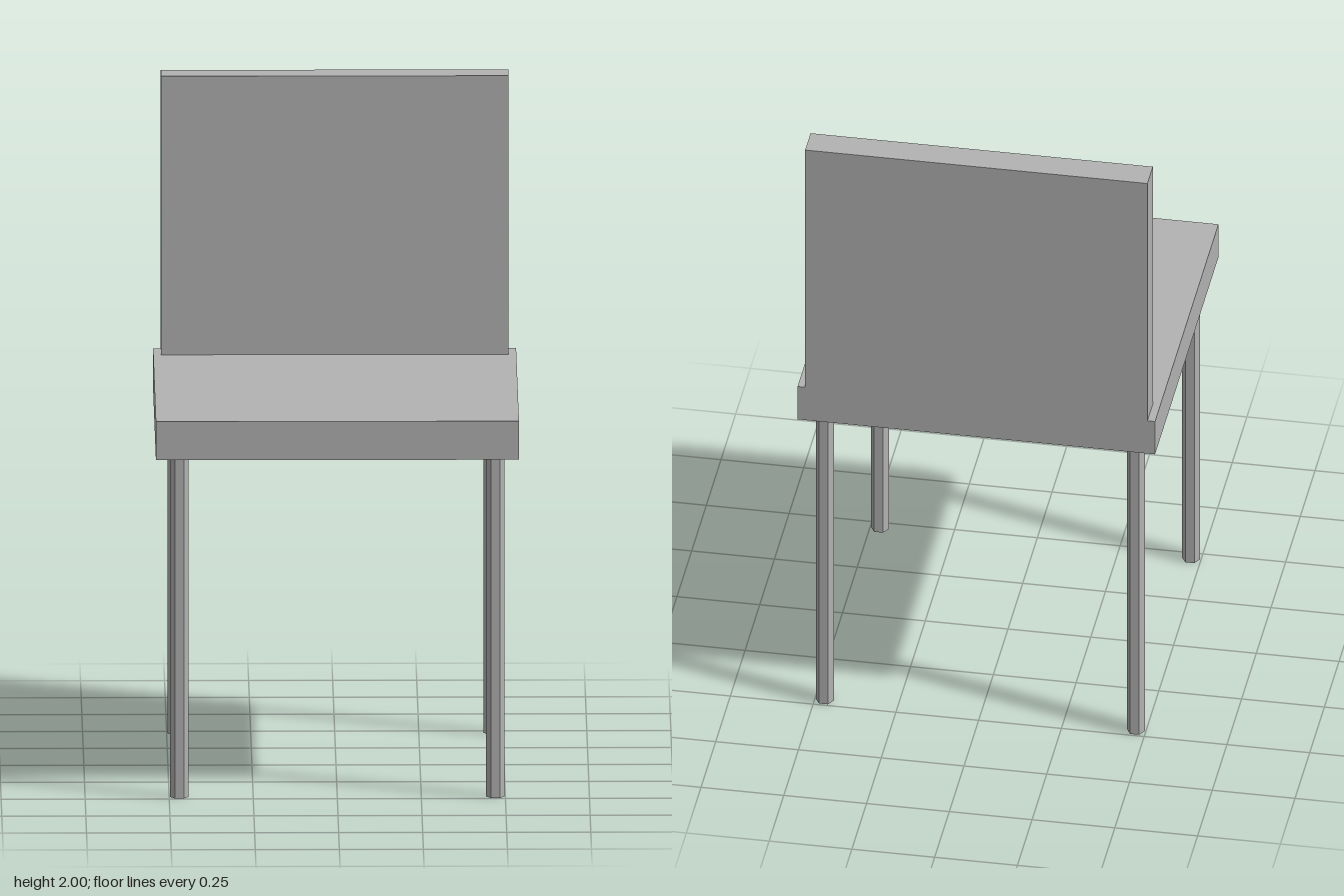
import * as THREE from 'three';

export function createModel() {
  const chair = new THREE.Group();
  chair.name = 'chair';
  const grey = new THREE.MeshStandardMaterial({ color: 0xb2b2b2, flatShading: true });
  grey.name = 'grey';

  const add = (name, geometry, x, y, z) => {
    const mesh = new THREE.Mesh(geometry, grey);
    mesh.name = name;
    mesh.position.set(x, y, z);
    chair.add(mesh);
  };

  const legHeight = 1.037, seatTop = 1.154, half = 0.54;

  // Square seat slab
  add('seat', new THREE.BoxGeometry(half * 2, seatTop - legHeight, half * 2), 0, (seatTop + legHeight) / 2, 0);

  // Upright back panel, flush with the rear edge of the seat
  const backDepth = 0.092;
  add('backrest', new THREE.BoxGeometry(1.034, 2 - seatTop, backDepth), 0, (2 + seatTop) / 2, -half + backDepth / 2);

  // Four thin six-sided legs, with a flat face to the front
  const leg = new THREE.CylinderGeometry(0.027, 0.027, legHeight, 6, 1, false, Math.PI / 6);
  for (const [side, x] of [['Left', 0.47], ['Right', -0.47]]) {
    for (const [end, z] of [['front', 0.47], ['back', -0.47]]) {
      add(`${end}${side}Leg`, leg, x, legHeight / 2, z);
    }
  }
  return chair;
}
